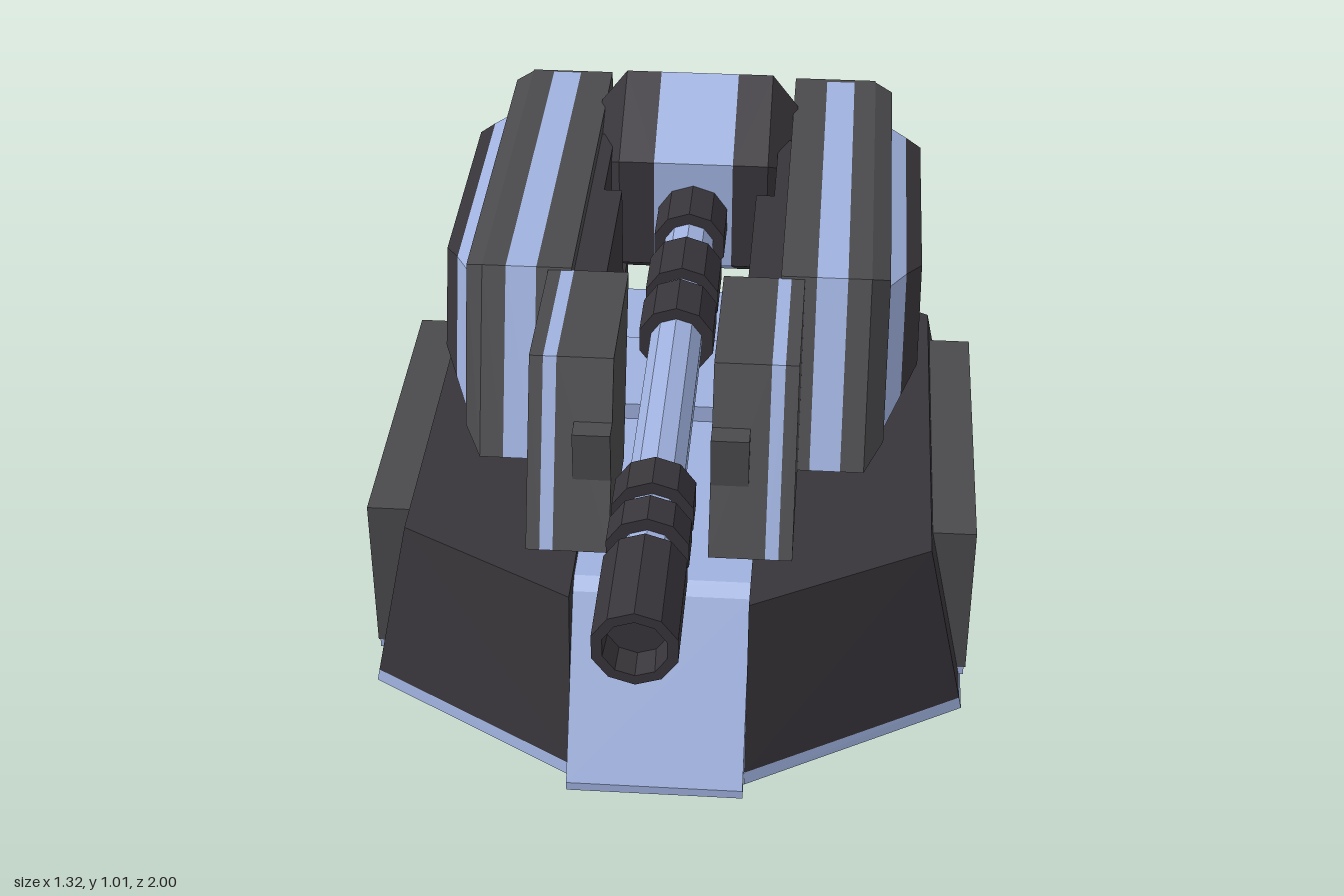
import * as THREE from 'three';

const mat = (color) => new THREE.MeshStandardMaterial({ color, flatShading: true });
const blue = mat(0x9fb1de), dark = mat(0x38353a), grey = mat(0x4a494c);

// Skin convex rings of [x, y, z] points and cap both ends; faces turned outward by signed volume
function loft(rings) {
  const tris = [], n = rings[0].length, last = rings[rings.length - 1];
  for (let i = 1; i < n - 1; i++) {
    tris.push([rings[0][0], rings[0][i], rings[0][i + 1]], [last[0], last[i + 1], last[i]]);
  }
  for (let r = 0; r < rings.length - 1; r++) {
    const a = rings[r], b = rings[r + 1];
    for (let i = 0; i < n; i++) {
      const j = (i + 1) % n;
      tris.push([a[i], b[i], b[j]], [a[i], b[j], a[j]]);
    }
  }
  let volume = 0;
  for (const [p, q, s] of tris) {
    volume += new THREE.Vector3(...p).dot(new THREE.Vector3(...q).cross(new THREE.Vector3(...s)));
  }
  const flat = tris.flatMap(([p, q, s]) => (volume > 0 ? [...p, ...q, ...s] : [...p, ...s, ...q]));
  const geo = new THREE.BufferGeometry();
  geo.setAttribute('position', new THREE.Float32BufferAttribute(flat, 3));
  geo.computeVertexNormals();
  return geo;
}

// Side profile of [z, y] points placed at x
const at = (x, pts) => pts.map(([z, y]) => [x, y, z]);
const slab = (pts, x0, x1) => loft([at(x0, pts), at(x1, pts)]);
// Side outline with a raked front: bottom front, top front, back
const raked = (zBottom, zTop, zBack, y0, y1) => [[zBottom, y0], [zTop, y1], [zBack, y1], [zBack, y0]];

export function createModel() {
  const model = new THREE.Group();
  const add = (parent, name, geo, material) => {
    const mesh = new THREE.Mesh(geo, material);
    mesh.name = name;
    parent.add(mesh);
  };
  const box = (parent, name, x0, x1, y0, y1, z0, z1, material) => {
    const geo = new THREE.BoxGeometry(Math.abs(x1 - x0), y1 - y0, z1 - z0);
    geo.translate((x0 + x1) / 2, (y0 + y1) / 2, (z0 + z1) / 2);
    add(parent, name, geo, material);
  };

  // Base centre strip and turret pivot
  const base = new THREE.Group();
  base.name = 'base';
  model.add(base);
  add(base, 'centreStrip', slab([[0.61, 0.035], [0.61, 0.055], [0.4, 0.4], [0.37, 0.42],
    [-0.77, 0.42], [-0.84, 0.035]], -0.185, 0.185), blue);
  box(base, 'pivotPlate', -0.185, 0.185, 0.41, 0.46, -0.49, -0.21, blue);

  // Rear housing: faceted drum with tapered ends
  const housing = new THREE.Group();
  housing.name = 'rearHousing';
  model.add(housing);
  const drum = [[-0.78, 1.01], [-1, 0.875], [-0.985, 0.63], [-0.76, 0.495], [-0.54, 0.635], [-0.55, 0.895]];
  const drumEnd = drum.map(([z, y]) => [-0.77 + (z + 0.77) * 0.7, 0.755 + (y - 0.755) * 0.7]);
  add(housing, 'housingBand', slab(drum, -0.09, 0.09), blue);

  for (const s of [1, -1]) {
    const side = s > 0 ? 'left' : 'right';

    // Base halves with a trim along the foot
    const foot = [[0.185, 0.53], [0.65, 0.25], [0.65, -0.68], [0.185, -0.95]];
    const roof = [[0.185, 0.47], [0.56, 0.26], [0.56, -0.67], [0.185, -0.88]];
    const level = (y) => foot.map(([x, z], i) => {
      const t = y / 0.44;
      return [s * (x + (roof[i][0] - x) * t), y, z + (roof[i][1] - z) * t];
    });
    add(base, side + 'BaseTrim', loft([level(0), level(0.03)]), blue);
    add(base, side + 'BaseHalf', loft([level(0.03), level(0.44)]), dark);
    box(base, side + 'SidePanel', s * 0.5, s * 0.658, 0.05, 0.42, -0.59, 0.17, grey);
    box(base, side + 'SidePanelTrim', s * 0.5, s * 0.654, 0.03, 0.05, -0.59, 0.17, blue);

    add(housing, side + 'HousingEnd',
      loft([at(s * 0.09, drum), at(s * 0.17, drum), at(s * 0.23, drumEnd)]), dark);

    // Arm: raked slabs with a bright stripe and a chamfered outer edge
    const arm = new THREE.Group();
    arm.name = side + 'Arm';
    model.add(arm);
    const body = raked(0.14, -0.02, -0.92, 0.548, 0.93);
    add(arm, 'armInner', slab(body, s * 0.22, s * 0.295), grey);
    add(arm, 'armStripe', slab(body, s * 0.295, s * 0.36), blue);
    add(arm, 'armOuter', loft([at(s * 0.36, body), at(s * 0.41, body),
      at(s * 0.45, raked(0.06, -0.06, -0.92, 0.575, 0.905))]), grey);
    box(arm, 'armBackPlate', s * 0.22, s * 0.41, 0.548, 0.93, -0.928, -0.915, grey);
    box(arm, 'innerBlock', s * 0.15, s * 0.23, 0.575, 0.9, -0.41, -0.01, dark);
    box(arm, 'innerRearBlock', s * 0.19, s * 0.23, 0.575, 0.9, -0.67, -0.41, dark);

    // Raised panel on the arm's outer face
    const frame = raked(-0.06, -0.155, -0.77, 0.615, 0.865);
    add(arm, 'panelFrame', loft([at(s * 0.45, raked(0.03, -0.07, -0.775, 0.59, 0.885)),
      at(s * 0.485, frame)]), blue);
    add(arm, 'panelCover', loft([at(s * 0.485, frame),
      at(s * 0.52, raked(-0.15, -0.235, -0.77, 0.64, 0.84))]), dark);

    // Front cheek beside the barrel
    const cheek = [[0.47, 0.56], [0.31, 0.925], [-0.02, 0.925], [0.14, 0.56]];
    add(arm, 'cheekInner', slab(cheek, s * 0.1, s * 0.215), grey);
    add(arm, 'cheekStripe', slab(cheek, s * 0.215, s * 0.242), blue);
    add(arm, 'cheekOuter', slab(cheek, s * 0.242, s * 0.27), grey);
    box(arm, 'cheekBlock', s * 0.1, s * 0.177, 0.675, 0.805, 0.3, 0.41, grey);
  }

  // Barrel, rings and hollow muzzle
  const barrel = new THREE.Group();
  barrel.name = 'barrel';
  barrel.position.y = 0.757;
  model.add(barrel);
  const rod = (name, r, z0, z1, material) => {
    const geo = new THREE.CylinderGeometry(r, r, z1 - z0, 10);
    geo.rotateX(Math.PI / 2).translate(0, 0, (z0 + z1) / 2);
    add(barrel, name, geo, material);
  };
  rod('barrelTube', 0.057, -0.56, 0.8, blue);
  const rings = [[-0.55, -0.42], [-0.32, -0.185], [-0.14, -0.02], [0.52, 0.605], [0.645, 0.72]];
  for (const [z0, z1] of rings) rod('barrelRing', 0.083, z0, z1, dark);
  const muzzle = [[0, 0.765], [0.083, 0.765], [0.083, 1], [0.062, 1], [0.058, 0.94], [0, 0.94]];
  const muzzleGeo = new THREE.LatheGeometry(muzzle.map(([r, z]) => new THREE.Vector2(r, z)), 10);
  add(barrel, 'muzzle', muzzleGeo.rotateX(Math.PI / 2), dark);

  return model;
}
